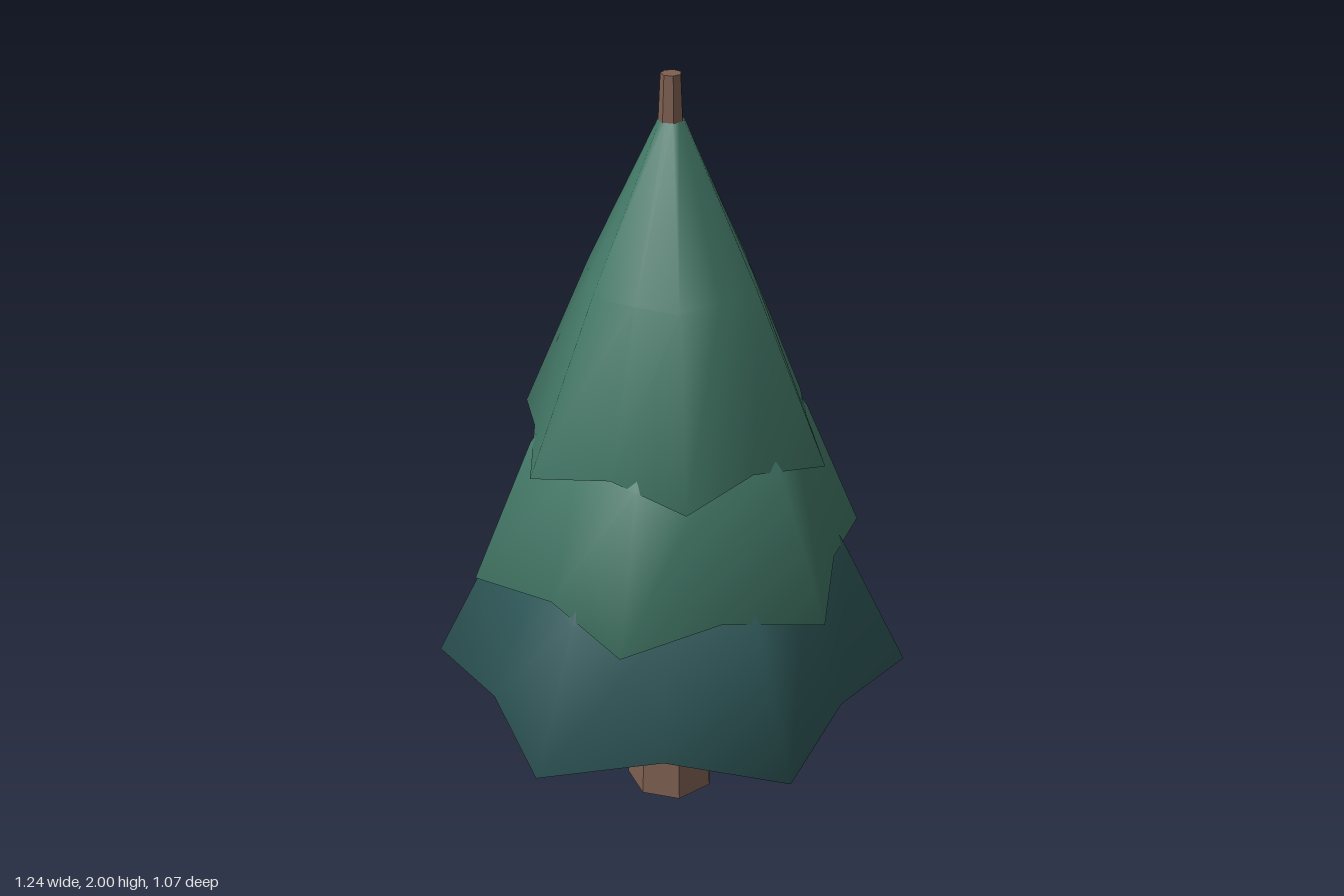
import * as THREE from 'three';

const SIDES = 12; // six corners with six notches between them

// Smooth closed solid lofted through rings [cornerRadius, notchRadius, cornerY, notchY], bottom to top.
function loft(rings, angle) {
  const pos = [], index = [];
  for (const [rc, rn, yc, yn] of rings) {
    for (let i = 0; i < SIDES; i++) {
      const a = angle + (i / SIDES) * Math.PI * 2;
      const r = i % 2 ? rn : rc;
      pos.push(r * Math.cos(a), i % 2 ? yn : yc, r * Math.sin(a));
    }
  }
  for (let k = 0; k < rings.length - 1; k++) {
    for (let i = 0; i < SIDES; i++) {
      const a = k * SIDES + i, b = k * SIDES + (i + 1) % SIDES;
      index.push(a, a + SIDES, b, b, a + SIDES, b + SIDES);
    }
  }
  // centre points closing the underside and the top
  const low = pos.length / 3, last = (rings.length - 1) * SIDES;
  pos.push(0, rings[0][2], 0, 0, rings[rings.length - 1][2], 0);
  for (let i = 0; i < SIDES; i++) {
    const j = (i + 1) % SIDES;
    index.push(low, i, j, low + 1, last + j, last + i);
  }
  const geo = new THREE.BufferGeometry();
  geo.setAttribute('position', new THREE.Float32BufferAttribute(pos, 3));
  geo.setIndex(index);
  geo.computeVertexNormals();
  return geo;
}

// One layer of branches: star-shaped skirt with raised notches and a soft, closed underside.
function tier(name, { r, y, angle, color, upper }) {
  const rings = [
    [r * 0.62, r * 0.6, y - 0.005, y - 0.005],
    [r, r * 0.825, y, y + 0.035],
    ...upper.map(([ur, uy, notch]) => [ur, ur * notch, uy, uy]),
  ];
  const mesh = new THREE.Mesh(
    loft(rings, THREE.MathUtils.degToRad(angle)),
    new THREE.MeshStandardMaterial({ color }),
  );
  mesh.name = name;
  return mesh;
}

export function createModel() {
  const tree = new THREE.Group();
  tree.name = 'tree';

  // seven-sided trunk running up to the tip
  const trunk = new THREE.Mesh(
    new THREE.CylinderGeometry(0.025, 0.119, 2, 7, 1, false, -Math.PI / 2),
    new THREE.MeshStandardMaterial({ color: 0x7d5f50, flatShading: true }),
  );
  trunk.name = 'trunk';
  trunk.position.y = 1;
  tree.add(trunk);

  // upper rings: [radius, height, notch ratio]
  tree.add(
    tier('lowerBranches', {
      r: 0.62, y: 0.4, angle: 0, color: 0x30595a,
      upper: [[0.45, 0.75, 0.87], [0.3, 1.02, 0.9]],
    }),
    tier('middleBranches', {
      r: 0.515, y: 0.735, angle: 41.5, color: 0x437867,
      upper: [[0.36, 1.1, 0.88], [0.2, 1.32, 0.92]],
    }),
    tier('topBranches', {
      r: 0.412, y: 1.075, angle: 23, color: 0x437867,
      upper: [[0.225, 1.5, 0.88], [0.034, 1.89, 0.95]],
    }),
  );
  return tree;
}
